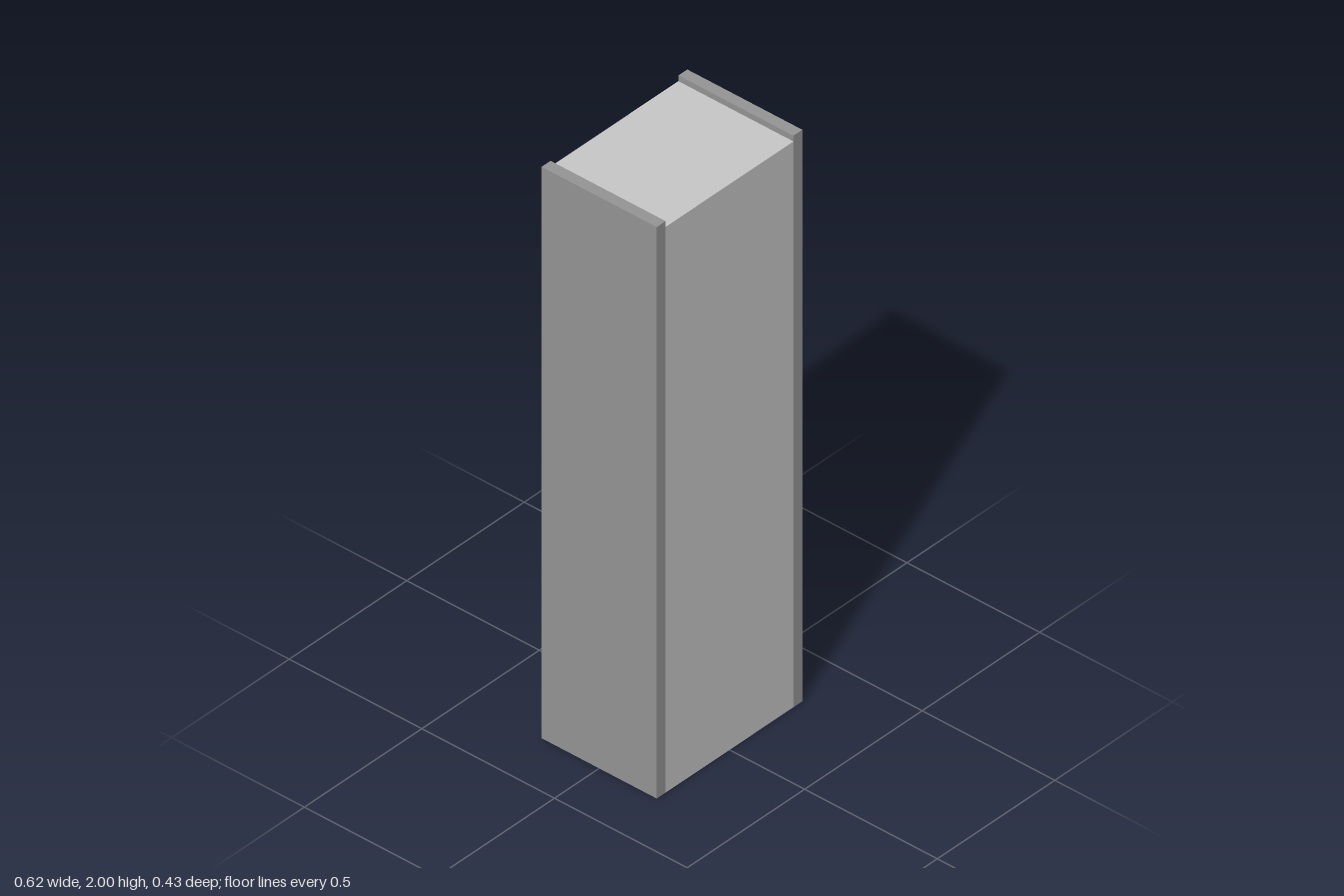
import * as THREE from 'three';

export function createModel() {
  const group = new THREE.Group();
  group.name = 'cabinet';

  const lightGrey = new THREE.MeshStandardMaterial({ color: 0xc8c8c8 });
  lightGrey.name = 'light grey';
  const midGrey = new THREE.MeshStandardMaterial({ color: 0x969696 });
  midGrey.name = 'mid grey';

  const height = 2, depth = 0.434, halfWidth = 0.31, panel = 0.038, coreHeight = 1.98;

  const addBox = (name, material, width, boxHeight, x) => {
    const mesh = new THREE.Mesh(new THREE.BoxGeometry(width, boxHeight, depth), material);
    mesh.name = name;
    mesh.position.set(x, boxHeight / 2, 0);
    group.add(mesh);
  };

  // Main body, slightly lower than the side panels
  addBox('body', lightGrey, 2 * (halfWidth - panel), coreHeight, 0);

  // Side panels, standing proud of the top
  for (const [name, side] of [['leftPanel', 1], ['rightPanel', -1]]) {
    addBox(name, midGrey, panel, height, side * (halfWidth - panel / 2));
  }

  return group;
}
